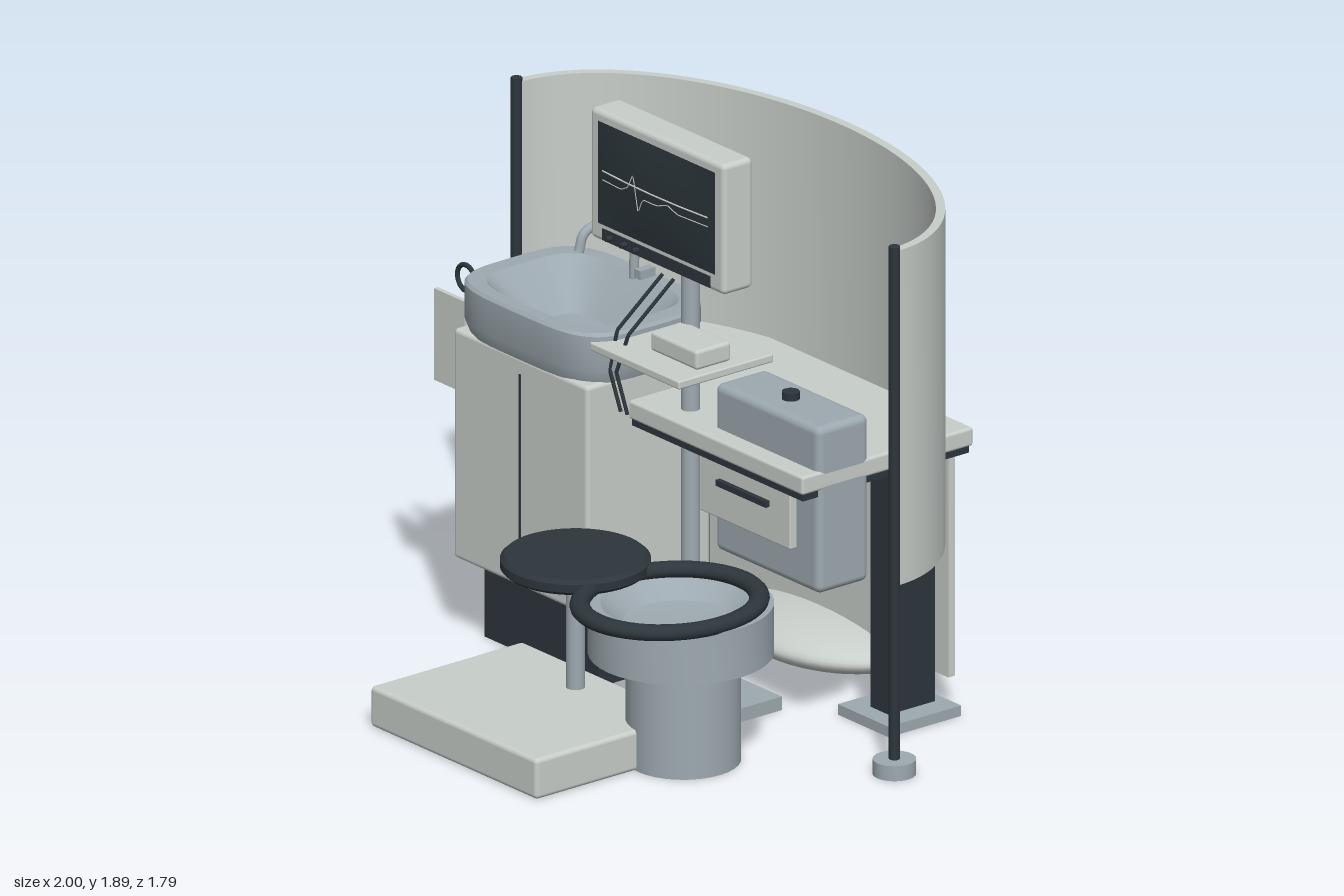
import * as THREE from 'three';
import { toCreasedNormals } from 'three/addons/utils/BufferGeometryUtils.js';
import { RoundedBoxGeometry } from 'three/addons/geometries/RoundedBoxGeometry.js';

export function createModel() {
  const group = new THREE.Group();
  const flat = (name, color, side = THREE.FrontSide) => {
    const m = new THREE.MeshStandardMaterial({ color, side });
    m.name = name;
    return m;
  };
  const pale = flat('paleGrey', 0xc8ceca);
  const blue = flat('blueGrey', 0x9da9b0);
  const dark = flat('charcoal', 0x2d363c);
  const glass = flat('screenDark', 0x2b353b, THREE.DoubleSide);

  const add = (name, geo, mat, x = 0, y = 0, z = 0) => {
    const m = new THREE.Mesh(geo, mat);
    m.name = name;
    m.position.set(x, y, z);
    group.add(m);
    return m;
  };
  // Box given by its limits on each axis, with optional rounded edges
  const box = (name, mat, [x0, x1], [y0, y1], [z0, z1], r = 0) => {
    const s = [x1 - x0, y1 - y0, z1 - z0];
    const geo = r ? new RoundedBoxGeometry(...s, 3, r) : new THREE.BoxGeometry(...s);
    return add(name, geo, mat, (x0 + x1) / 2, (y0 + y1) / 2, (z0 + z1) / 2);
  };
  const cyl = (name, mat, r, x, z, y0, y1, n = 32) =>
    add(name, new THREE.CylinderGeometry(r, r, y1 - y0, n), mat, x, (y0 + y1) / 2, z);
  const V = (p) => new THREE.Vector3(...p);
  const tube = (name, mat, pts, r, seg = 40) =>
    add(name, new THREE.TubeGeometry(new THREE.CatmullRomCurve3(pts.map(V), false, 'centripetal'), seg, r, 10), mat);
  const polyTube = (name, mat, pts, r) => {
    const path = new THREE.CurvePath();
    pts.slice(1).forEach((p, i) => path.add(new THREE.LineCurve3(V(pts[i]), V(p))));
    return add(name, new THREE.TubeGeometry(path, 40, r, 6), mat);
  };

  // Curved privacy screen: half of an elliptical ring
  const arc = new THREE.Shape();
  arc.absellipse(0, 0, 0.945, 0.575, 0, Math.PI, false);
  arc.lineTo(-0.915, 0);
  arc.absellipse(0, 0, 0.915, 0.545, Math.PI, 0, true);
  const curtain = new THREE.ExtrudeGeometry(arc, { depth: 1.115, bevelEnabled: false, curveSegments: 48 });
  curtain.rotateX(-Math.PI / 2);
  add('curvedScreen', toCreasedNormals(curtain, 0.5), pale, 0, 0.63, -0.12);

  // Screen poles, desk legs and feet, mirrored
  for (const s of [-1, 1]) {
    const span = (a, b) => (s > 0 ? [a, b] : [-b, -a]);
    cyl('screenPole', dark, 0.018, s * 0.93, -0.12, 0.05, 1.757, 20);
    cyl('poleFoot', blue, 0.068, s * 0.93, -0.12, 0, 0.05);
    box('deskLeg', dark, span(0.51, 0.6), [0.035, 0.87], [-0.55, -0.365]);
    box('deskFoot', blue, span(0.43, 0.68), [0, 0.035], [-0.59, -0.3]);
  }

  // Desk
  box('deskTop', pale, [-0.68, 0.68], [0.888, 0.95], [-0.64, 0.045], 0.01);
  box('deskUnderside', dark, [-0.67, 0.67], [0.865, 0.89], [-0.63, 0.035]);
  box('backPanel', pale, [-0.63, 0.63], [0.115, 0.87], [-0.607, -0.58]);

  // Flattened dome behind the desk
  const dome = add('floorDome', new THREE.SphereGeometry(1, 48, 24), pale, 0, 0.083, -0.62);
  dome.scale.set(0.38, 0.083, 0.28);

  // Wash cabinet
  box('cabinetPlinth', dark, [-0.78, -0.22], [0, 0.25], [-0.23, 0.13]);
  box('plinthSpacer', dark, [-0.62, -0.53], [0.245, 0.28], [-0.1, 0.0]);
  box('cabinet', pale, [-0.83, -0.17], [0.27, 1.035], [-0.28, 0.215], 0.015);
  box('doorSeam', dark, [-0.504, -0.496], [0.32, 0.98], [0.211, 0.218]);

  // Basin: rounded rectangles joined from outer foot over the rim to the floor
  const rings = [[0.345, 0.255, 1.03], [0.36, 0.27, 1.075], [0.36, 0.27, 1.19], [0.352, 0.262, 1.2],
    [0.295, 0.218, 1.2], [0.285, 0.208, 1.19], [0.155, 0.095, 1.06], [0.001, 0.001, 1.055]];
  const N = 64, pos = [], idx = [];
  rings.forEach(([rx, rz, y], i) => {
    for (let j = 0; j < N; j++) {
      const t = (j / N) * Math.PI * 2, c = Math.cos(t), s = Math.sin(t);
      const bend = (v) => Math.sign(v) * Math.pow(Math.abs(v), 0.5);
      pos.push(rx * bend(c), y, rz * bend(s));
      if (i < rings.length - 1) {
        const a = i * N + j, b = i * N + (j + 1) % N;
        idx.push(a, a + N, b, b, a + N, b + N);
      }
    }
  });
  const basin = new THREE.BufferGeometry();
  basin.setAttribute('position', new THREE.Float32BufferAttribute(pos, 3));
  basin.setIndex(idx);
  add('basin', toCreasedNormals(basin, 0.5), blue, -0.5, 0, -0.035);
  cyl('drain', dark, 0.025, -0.5, -0.035, 1.05, 1.062, 20);
  tube('faucet', blue, [[-0.5, 1.19, -0.24], [-0.5, 1.33, -0.235], [-0.5, 1.395, -0.18],
    [-0.5, 1.405, -0.1], [-0.5, 1.385, -0.04], [-0.5, 1.33, -0.02]], 0.016);

  // Towel and ring
  add('towelRing', new THREE.TorusGeometry(0.043, 0.008, 10, 32), dark, -0.895, 1.155, 0.11);
  box('towel', pale, [-0.97, -0.82], [0.81, 1.115], [0.162, 0.178]);

  // Monitor column and foot plate
  cyl('monitorColumn', blue, 0.03, 0, -0.06, 0.02, 1.77, 24);
  box('footPlate', blue, [0.01, 0.29], [0, 0.045], [-0.19, 0.13]);

  // Monitor with a slightly bulging display
  box('monitorHousing', pale, [-0.33, 0.33], [1.455, 1.89], [-0.045, 0.075], 0.018);
  const bulge = (x, y) => 0.076 + 0.014 * (1 - (x / 0.288) ** 2) * (1 - (y / 0.17) ** 2);
  const face = new THREE.PlaneGeometry(0.576, 0.34, 24, 16);
  const fp = face.attributes.position;
  for (let i = 0; i < fp.count; i++) fp.setZ(i, bulge(fp.getX(i), fp.getY(i)));
  face.computeVertexNormals();
  add('display', face, glass, 0, 1.685, 0);
  box('controlStrip', dark, [-0.265, 0.265], [1.465, 1.503], [0.072, 0.079]);
  for (const x of [-0.22, -0.15, -0.09]) {
    const b = cyl('controlButton', dark, 0.009, x, 0, 0, 0.024, 12);
    b.rotation.x = Math.PI / 2;
    b.position.set(x, 1.485, 0.088);
  }

  // Display traces
  const trace = (name, pts, r) =>
    polyTube(name, pale, pts.map(([x, y]) => [x, y, bulge(x, y - 1.685) + 0.002]), r);
  trace('baseline', [-0.26, -0.13, 0, 0.13, 0.26].map((x) => [x, 1.697]), 0.003);
  trace('pulseTrace', [[-0.26, 1.667], [-0.16, 1.667], [-0.125, 1.685], [-0.1, 1.735], [-0.075, 1.615],
    [-0.05, 1.667], [0.02, 1.667], [0.07, 1.685], [0.12, 1.667], [0.26, 1.667]], 0.0018);

  // Tray, device and hanging leads
  box('tray', pale, [-0.19, 0.25], [1.147, 1.175], [-0.19, 0.19], 0.006);
  box('trayDevice', pale, [-0.015, 0.215], [1.175, 1.24], [-0.05, 0.09], 0.012);
  box('leadHolder', blue, [-0.24, -0.21], [1.32, 1.35], [-0.09, -0.03]);
  for (const dx of [0, -0.055]) {
    polyTube('lead', dark, [[-0.045 + dx, 1.375, -0.03], [-0.09 + dx, 1.21, 0.115],
      [-0.125 + dx * 0.6, 1.08, 0.135], [-0.07 + dx * 0.6, 0.955, 0.135]], 0.006);
  }

  // Toilet cistern with drawer
  box('cistern', blue, [0.165, 0.68], [0.54, 1.095], [-0.225, -0.02], 0.025);
  cyl('flushButton', dark, 0.028, 0.42, -0.12, 1.09, 1.12, 24);
  box('drawer', pale, [0.125, 0.57], [0.665, 0.86], [-0.1, 0.005], 0.006);
  box('drawerHandle', dark, [0.225, 0.47], [0.78, 0.8], [0.003, 0.022]);

  // Toilet bowl, pedestal and seat
  cyl('pedestal', blue, 0.18, 0.42, 0.31, 0, 0.37, 32);
  const profile = [[0.001, 0.36], [0.29, 0.36], [0.29, 0.525], [0.25, 0.525], [0.18, 0.46], [0.001, 0.44]];
  const bowl = new THREE.LatheGeometry(profile.map(([x, y]) => new THREE.Vector2(x, y)), 40);
  add('bowl', toCreasedNormals(bowl, 0.5), blue, 0.42, 0, 0.32);
  const ring = new THREE.TorusGeometry(0.26, 0.03, 14, 56);
  ring.rotateX(Math.PI / 2);
  const seat = add('toiletSeat', ring, dark, 0.42, 0.54, 0.365);
  seat.scale.set(1, 0.87, 1.12);

  // Step platform and stool
  box('platform', pale, [-0.41, 0.41], [0, 0.135], [0.28, 0.89], 0.015);
  cyl('stoolColumn', blue, 0.03, 0, 0.4, 0.13, 0.54, 24);
  const cushion = [[0.001, 0], [0.222, 0], [0.235, 0.012], [0.235, 0.038], [0.222, 0.05], [0.001, 0.05]];
  add('stoolSeat', toCreasedNormals(new THREE.LatheGeometry(
    cushion.map(([x, y]) => new THREE.Vector2(x, y)), 48), 0.6), dark, 0, 0.527, 0.4);

  return group;
}
